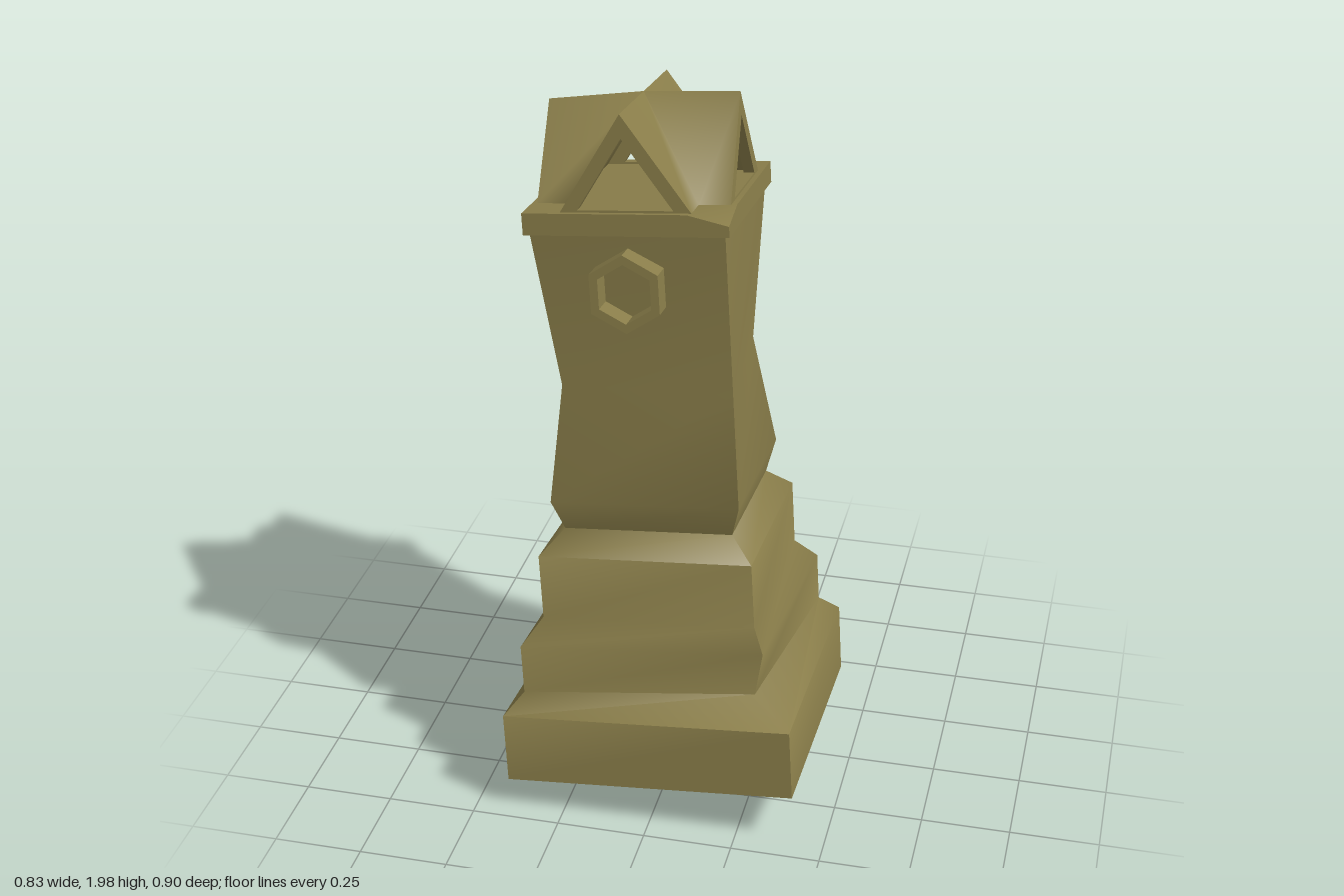
import * as THREE from 'three';
import { toCreasedNormals } from 'three/addons/utils/BufferGeometryUtils.js';

const stone = new THREE.MeshStandardMaterial({ color: 0x8a7e4a, side: THREE.DoubleSide });
stone.name = 'weathered stone';

function part(name, geometry) {
  const mesh = new THREE.Mesh(geometry, stone);
  mesh.name = name;
  return mesh;
}

// Quads given as four corner vectors, counter-clockwise from outside
function quadGeometry(quads, crease) {
  const pos = [];
  for (const [a, b, c, d] of quads) for (const p of [a, b, c, a, c, d]) pos.push(...p);
  const g = new THREE.BufferGeometry();
  g.setAttribute('position', new THREE.Float32BufferAttribute(pos, 3));
  return toCreasedNormals(g, crease);
}

const CORNERS = [[-1, 1], [1, 1], [1, -1], [-1, -1]];

// Stepped square body, open below; chips pull single corners inwards
function bodyGeometry() {
  const profile = [
    [0.41, 0], [0.41, 0.2], [0.358, 0.255], [0.358, 0.395], [0.302, 0.465],
    [0.302, 0.65], [0.238, 0.712], [0.266, 0.8], [0.266, 1.13], [0.266, 1.575],
  ];
  const chips = { '2,1': 0.065, '3,1': 0.03, '8,0': 0.045, '8,2': 0.045 };
  const rings = profile.map(([w, y], i) => CORNERS.map(([sx, sz], k) => {
    const r = w - (chips[`${i},${k}`] || 0);
    return [sx * r, y, sz * r];
  }));
  const quads = [];
  for (let i = 0; i < rings.length - 1; i++) {
    for (let k = 0; k < 4; k++) {
      const n = (k + 1) % 4;
      quads.push([rings[i][k], rings[i][n], rings[i + 1][n], rings[i + 1][k]]);
    }
  }
  return quadGeometry(quads, 1.1);
}

// Cap slab with one worn corner
function slabGeometry() {
  const g = new THREE.BoxGeometry(0.56, 0.06, 0.56, 5, 1, 5);
  const p = g.attributes.position;
  for (let i = 0; i < p.count; i++) {
    if (p.getX(i) > 0.27 && p.getZ(i) > 0.27 && p.getY(i) > 0) p.setY(i, 0);
  }
  return toCreasedNormals(g, 0.5);
}

const ROOF = { base: 1.63, top: 1.893, half: 0.178, reach: 0.265 };

// Crossed gable roof: two slopes for each of four arms
function roofGeometry() {
  const { base, top, half, reach } = ROOF;
  const quads = [];
  for (let k = 0; k < 4; k++) {
    const c = Math.round(Math.cos(k * Math.PI / 2)), s = Math.round(Math.sin(k * Math.PI / 2));
    const turn = (x, y, z) => [x * c + z * s, y, z * c - x * s];
    const tip = turn(0, k === 3 ? top - 0.02 : top, reach), centre = [0, top, 0];
    quads.push([turn(half, base, reach), turn(half, base, half), centre, tip]);
    quads.push([tip, centre, turn(-half, base, half), turn(-half, base, reach)]);
  }
  return quadGeometry(quads, 1.4);
}

// Triangular frame closing the end of a roof arm
function gableGeometry() {
  const h = ROOF.top - ROOF.base;
  const triangle = (Path, w, y0, y1) => {
    const s = new Path();
    s.moveTo(-w, y0);
    s.lineTo(w, y0);
    s.lineTo(0, y1);
    s.closePath();
    return s;
  };
  const shape = triangle(THREE.Shape, ROOF.half, 0, h);
  shape.holes.push(triangle(THREE.Path, 0.13, 0.006, h - 0.065));
  return new THREE.ExtrudeGeometry(shape, { depth: 0.03, bevelEnabled: false });
}

// Hollow hexagonal boss
function bossGeometry() {
  const hexagon = (Path, r) => {
    const pts = [];
    for (let i = 0; i < 6; i++) {
      const a = Math.PI / 2 + i * Math.PI / 3;
      pts.push(new THREE.Vector2(r * Math.cos(a), r * Math.sin(a)));
    }
    return new Path(pts);
  };
  const shape = hexagon(THREE.Shape, 0.108);
  shape.holes.push(hexagon(THREE.Path, 0.082));
  return new THREE.ExtrudeGeometry(shape, { depth: 0.07, bevelEnabled: false });
}

export function createModel() {
  const model = new THREE.Group();
  model.name = 'leaningMonument';

  const monument = new THREE.Group();
  monument.name = 'monument';
  model.add(monument);

  monument.add(part('steppedBody', bodyGeometry()));
  const slab = part('capSlab', slabGeometry());
  slab.position.y = 1.6;
  monument.add(slab, part('crossRoof', roofGeometry()));

  // Gable frames on all four sides
  const gable = gableGeometry();
  for (let k = 0; k < 4; k++) {
    const side = new THREE.Group();
    side.name = 'gableSide';
    side.rotation.y = k * Math.PI / 2;
    const frame = part('gableFrame', gable);
    frame.position.set(0, ROOF.base, ROOF.reach - 0.03);
    if (k === 3) frame.scale.y = 0.92;
    side.add(frame);
    monument.add(side);
  }

  // Bosses on front and back
  const boss = bossGeometry();
  for (const s of [1, -1]) {
    const b = part(s > 0 ? 'frontBoss' : 'backBoss', boss);
    b.rotation.y = s > 0 ? 0 : Math.PI;
    b.position.set(0, 1.425, s * 0.257);
    monument.add(b);
  }

  // Lean backwards and to the model's right
  monument.rotation.set(-0.108, 0, 0.08);
  monument.position.set(0, 0.077, 0.035);
  return model;
}
